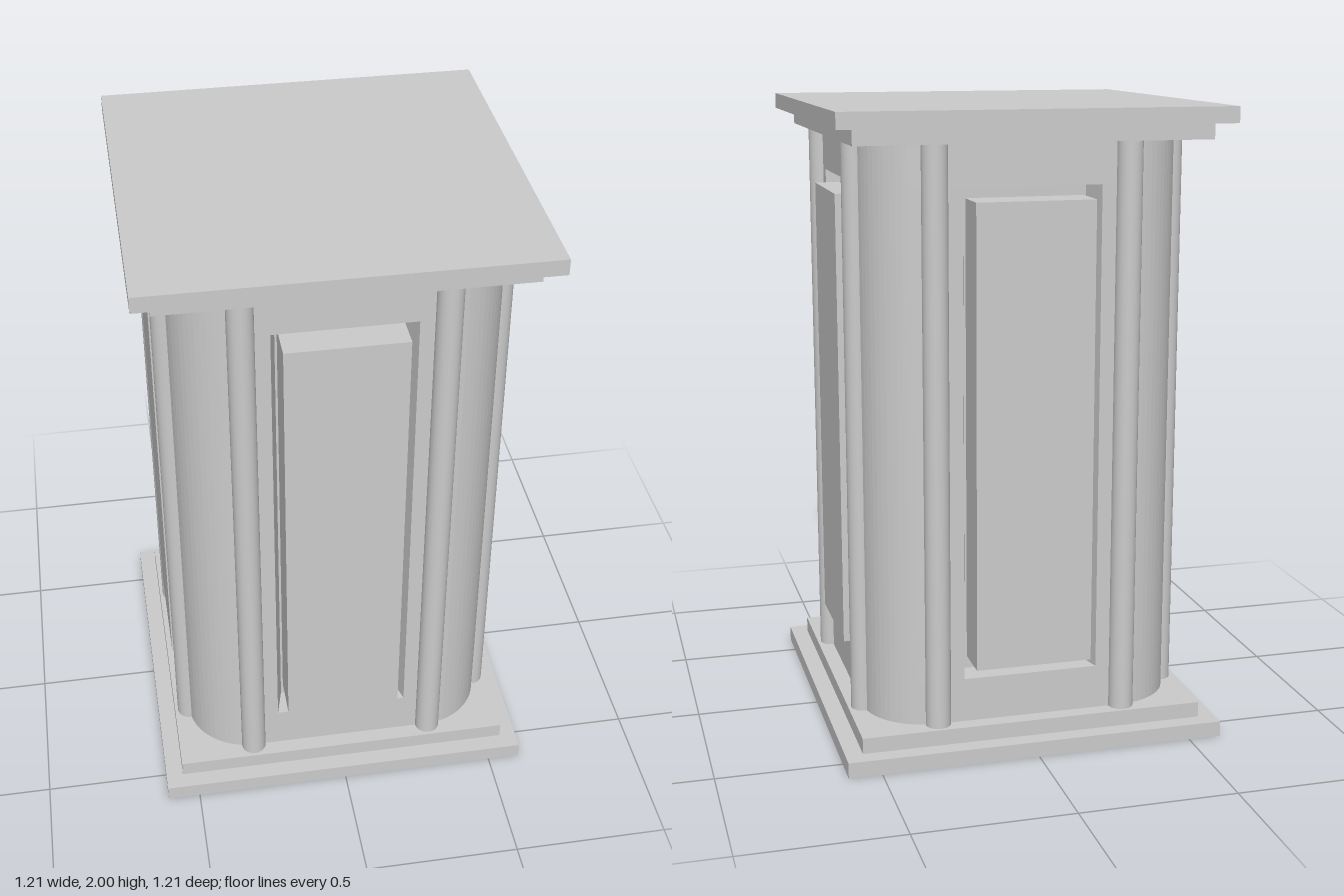
import * as THREE from 'three';

const HALF = 0.5, RADIUS = 0.2;            // rounded-square body
const REC = { w: 0.215, floorW: 0.192, floor: 0.41, y0: 0.24, y1: 1.77 };

// Rounded-square section, optionally with a tapered recess in each side
function bodySection(recessed) {
  const shape = new THREE.Shape();
  const c = HALF - RADIUS;
  for (let i = 0; i < 4; i++) {
    const a = i * Math.PI / 2, cos = Math.cos(a), sin = Math.sin(a);
    const at = (x, y) => [x * cos - y * sin, x * sin + y * cos];
    if (i === 0) shape.moveTo(...at(HALF, -c));
    else shape.lineTo(...at(HALF, -c));
    if (recessed) {
      shape.lineTo(...at(HALF, -REC.w));
      shape.lineTo(...at(REC.floor, -REC.floorW));
      shape.lineTo(...at(REC.floor, REC.floorW));
      shape.lineTo(...at(HALF, REC.w));
    }
    shape.lineTo(...at(HALF, c));
    shape.absarc(...at(c, c), RADIUS, a, a + Math.PI / 2, false);
  }
  return shape;
}

export function createModel() {
  const model = new THREE.Group();
  model.name = 'pedestal';
  const material = new THREE.MeshStandardMaterial({ color: 0xcccccc });

  const add = (parent, name, geometry, x, y, z) => {
    const mesh = new THREE.Mesh(geometry, material);
    mesh.name = name;
    mesh.position.set(x, y, z);
    parent.add(mesh);
    return mesh;
  };

  // Stepped base and top plates
  const outer = new THREE.BoxGeometry(1.21, 0.05, 1.21);
  const inner = new THREE.BoxGeometry(1.1, 0.05, 1.1);
  add(model, 'basePlate', outer, 0, 0.025, 0);
  add(model, 'baseStep', inner, 0, 0.075, 0);
  add(model, 'topStep', inner, 0, 1.925, 0);
  add(model, 'topPlate', outer, 0, 1.975, 0);

  // Body: plain bands below and above the recessed middle
  const bands = [
    ['lowerBody', 0.1, REC.y0, false],
    ['recessedBody', REC.y0, REC.y1, true],
    ['upperBody', REC.y1, 1.9, false],
  ];
  for (const [name, y0, y1, recessed] of bands) {
    const geometry = new THREE.ExtrudeGeometry(bodySection(recessed), {
      depth: y1 - y0, bevelEnabled: false, curveSegments: 8,
    });
    geometry.rotateX(-Math.PI / 2);
    add(model, name, geometry, 0, y0, 0);
  }

  // Each side: a raised panel between two slim columns
  const panel = new THREE.BoxGeometry(0.37, 1.45, 0.14);
  const column = new THREE.CylinderGeometry(0.04, 0.04, 1.8, 20);
  ['front', 'left', 'back', 'right'].forEach((side, i) => {
    const group = new THREE.Group();
    group.name = side + 'Side';
    group.rotation.y = i * Math.PI / 2;
    add(group, side + 'Panel', panel, 0, 1.005, 0.47);
    for (const s of [-1, 1]) add(group, side + 'Column', column, s * 0.3, 1, HALF);
    model.add(group);
  });

  return model;
}
